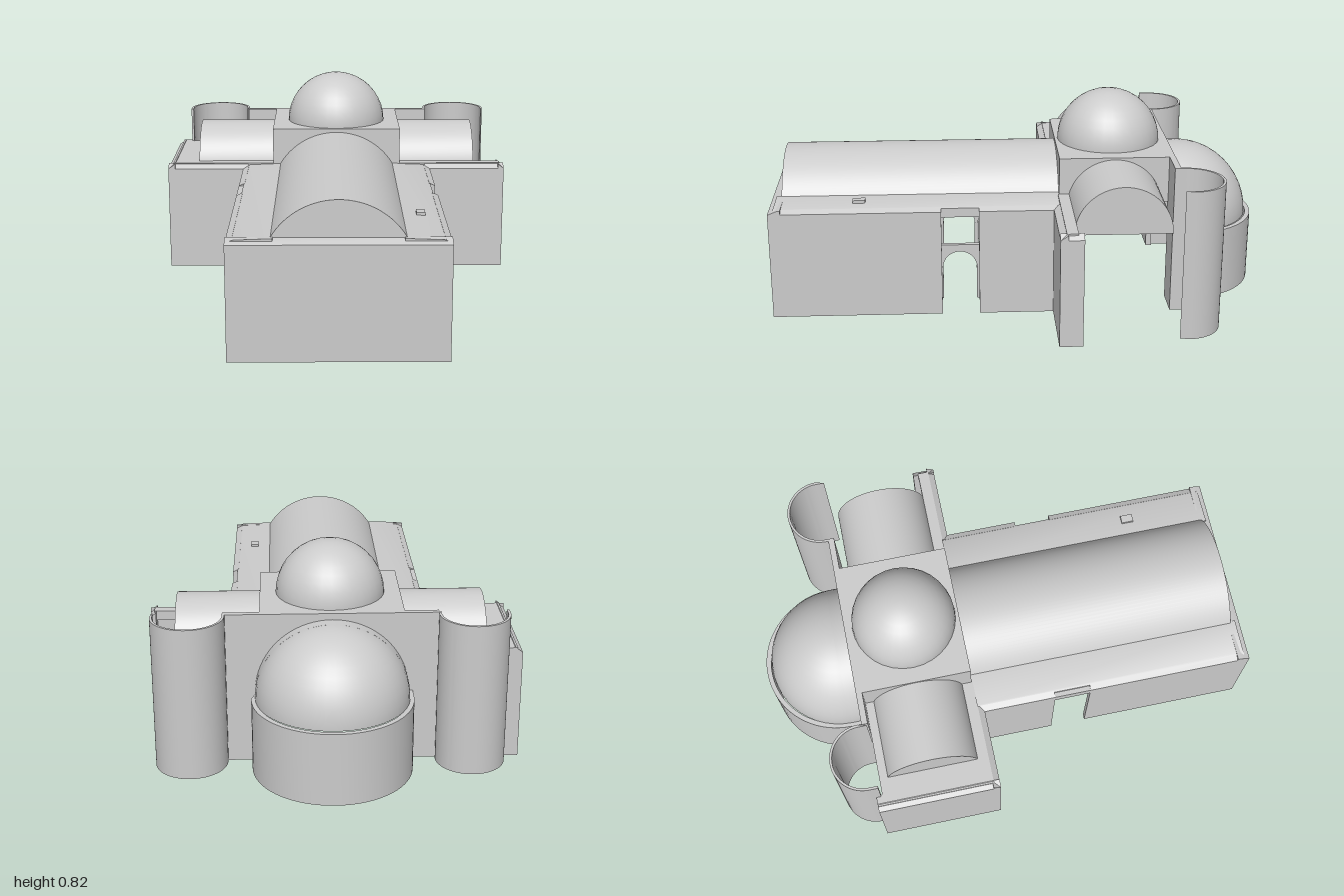
import * as THREE from 'three';
import { toCreasedNormals } from 'three/addons/utils/BufferGeometryUtils.js';

const mat = new THREE.MeshStandardMaterial({ color: 0xcccccc, side: THREE.DoubleSide });
const PI = Math.PI;

export function createModel() {
  const root = new THREE.Group();

  const add = (name, geo) => {
    const m = new THREE.Mesh(geo, mat);
    m.name = name;
    root.add(m);
    return m;
  };
  const box = (name, x0, x1, y0, y1, z0, z1) =>
    add(name, new THREE.BoxGeometry(x1 - x0, y1 - y0, z1 - z0)
      .translate((x0 + x1) / 2, (y0 + y1) / 2, (z0 + z1) / 2));
  const poly = pts => new THREE.Shape(pts.map(p => new THREE.Vector2(p[0], p[1])));
  const extrude = (shape, depth) =>
    new THREE.ExtrudeGeometry(shape, { depth, bevelEnabled: false, curveSegments: 20 });
  const crease = geo => toCreasedNormals(geo, 0.5);

  // Profile (x, y) run along z; profile (z, y) run along x; plan (x, -z) run upward
  const alongZ = (name, shape, z0, z1) =>
    add(name, crease(extrude(shape, z1 - z0).translate(0, 0, z0)));
  const alongX = (name, shape, x0, x1) =>
    add(name, crease(extrude(shape, x1 - x0).rotateY(-PI / 2).translate(x1, 0, 0)));
  const upward = (name, shape, y0, y1) =>
    add(name, crease(extrude(shape, y1 - y0).rotateX(-PI / 2).translate(0, y0, 0)));

  // Barrel vault cross-section: arc band cut off at height y0
  const vaultShape = (c, cy, R, t, y0) => {
    const a = Math.asin((y0 - cy) / R), b = Math.asin((y0 - cy) / (R - t));
    const s = new THREE.Shape();
    s.absarc(c, cy, R, a, PI - a, false);
    s.absarc(c, cy, R - t, PI - b, b, true);
    return s;
  };
  const lunetteShape = (c, cy, R, y0) => {
    const a = Math.asin((y0 - cy) / R);
    const s = new THREE.Shape();
    s.absarc(c, cy, R, a, PI - a, false);
    return s;
  };
  // Plate with an arched opening in its lower edge
  const archPlate = (c, w, y0, y1, cy, R) => {
    const a = Math.asin(Math.max(0, (y0 - cy) / R)), h = R * Math.cos(a);
    const s = new THREE.Shape();
    s.moveTo(c - w, y0);
    s.lineTo(c - h, y0);
    s.absarc(c, cy, R, PI - a, a, true);
    s.lineTo(c + h, y0);
    s.lineTo(c + w, y0);
    s.lineTo(c + w, y1);
    s.lineTo(c - w, y1);
    return s;
  };
  // U-shaped plan of an apse wall opening to the front
  const apsePlan = (cx, r, t, z0, zc) => {
    const s = new THREE.Shape();
    s.moveTo(cx + r, -z0);
    s.absarc(cx, -zc, r, 0, PI, false);
    s.lineTo(cx - r, -z0);
    s.lineTo(cx - r + t, -z0);
    s.absarc(cx, -zc, r - t, PI, 0, true);
    s.lineTo(cx + r - t, -z0);
    return s;
  };

  // Nave walls, each side broken by a doorway
  box('frontWall', -0.405, 0.405, 0, 0.44, 0.975, 1);
  for (const s of [-1, 1]) {
    const [a, b] = s > 0 ? [0.383, 0.405] : [-0.405, -0.383];
    box('naveWallFront', a, b, 0, 0.44, 0.318, 0.98);
    box('naveWallBack', a, b, 0, 0.44, -0.16, 0.168);
    // Aisle roof with a sloping outer edge
    alongZ('aisleRoof', poly([[0.235, 0.41], [0.385, 0.41], [0.385, 0.448], [0.375, 0.453],
      [0.235, 0.458]].map(p => [p[0] * s, p[1]])), -0.16, 0.98);
    for (const [z0, z1] of [[0.318, 0.98], [-0.16, 0.168]])
      alongZ('eaves', poly([[0.405, 0.44], [0.38, 0.452], [0.38, 0.44]].map(p => [p[0] * s, p[1]])), z0, z1);
  }
  box('doorLintel', -0.405, -0.383, 0.4, 0.44, 0.168, 0.318);
  alongX('frontEaves', poly([[1, 0.44], [0.96, 0.456], [0.95, 0.456], [0.95, 0.41], [0.98, 0.41]]), -0.405, 0.405);
  box('roofHatch', 0.295, 0.328, 0.45, 0.466, 0.62, 0.67);

  // Nave vault
  alongZ('naveVault', vaultShape(0, 0.311, 0.284, 0.01, 0.455), -0.16, 0.96);
  alongZ('naveLunette', lunetteShape(0, 0.311, 0.283, 0.45), 0.95, 0.96);

  // Nave arcades on thin columns
  const bay = 0.155, first = 0.9425;
  for (const x of [-0.25, 0.25]) {
    for (let i = 0; i < 8; i++) {
      const z = first - i * bay;
      if (i < 7) alongX('arcadeArch', archPlate(z - bay / 2, bay / 2, 0.14, 0.24, 0.14, 0.07), x - 0.01, x + 0.01);
      add('column', new THREE.CylinderGeometry(0.009, 0.009, 0.145, 10).translate(x, 0.0725, z));
    }
    box('arcadeEnd', x - 0.01, x + 0.01, 0.14, 0.24, first, 0.98);
  }

  // Crossing: arched walls, roof with round hole, dome
  const cz = -0.385;
  alongZ('crossingFront', archPlate(0, 0.275, 0.45, 0.61, 0.311, 0.274), -0.175, -0.16);
  for (const x of [-0.275, 0.26])
    alongX('crossingSide', archPlate(cz, 0.222, 0.42, 0.61, 0.41, 0.185), x, x + 0.015);
  const top = poly([[-0.275, 0.16], [0.275, 0.16], [0.275, 0.63], [-0.275, 0.63]]);
  top.holes.push(new THREE.Path().absarc(0, -cz, 0.205, 0, 2 * PI, true));
  upward('crossingRoof', top, 0.597, 0.61);
  add('crossingDome', new THREE.SphereGeometry(0.213, 32, 10, 0, 2 * PI, 0, PI / 2).translate(0, 0.608, cz));

  // Wall behind the crossing, open to the main apse
  alongZ('apseArchWall', archPlate(0, 0.405, 0, 0.61, 0.29, 0.275), -0.63, -0.605);

  // Main apse with half dome
  upward('mainApseWall', apsePlan(0, 0.31, 0.02, -0.63, -0.69), 0, 0.29);
  add('mainApseDome', new THREE.SphereGeometry(0.295, 24, 12, PI, PI, 0, PI / 2).translate(0, 0.29, -0.68));
  alongZ('mainApseVault', vaultShape(0, 0.29, 0.295, 0.008, 0.29), -0.68, -0.625);

  // Side apses, open above
  upward('sideApseRight', apsePlan(-0.537, 0.135, 0.01, -0.61, -0.645), 0, 0.61);
  upward('sideApseLeft', apsePlan(0.545, 0.14, 0.01, -0.605, -0.64), 0, 0.61);

  // Transept vaults
  for (const s of [-1, 1]) {
    const [a, b] = s > 0 ? [0.265, 0.6] : [-0.6, -0.265];
    alongX('transeptVault', vaultShape(cz, 0.41, 0.192, 0.01, 0.41), a, b);
    alongX('transeptLunette', lunetteShape(cz, 0.41, 0.19, 0.41), s > 0 ? 0.59 : -0.6, s > 0 ? 0.6 : -0.59);
  }

  // Transept front walls and roof strips on both sides
  const frontProfile = poly([[-0.13, 0], [-0.13, 0.44], [-0.16, 0.46], [-0.16, 0]]);
  for (const [a, b] of [[-0.73, -0.383], [0.383, 0.727]]) alongX('transeptFrontWall', frontProfile, a, b);
  for (const [a, b] of [[-0.71, -0.275], [0.275, 0.71]])
    box('transeptRoofStrip', a, b, 0.42, 0.46, -0.2, -0.155);

  // Closed transept: end wall, back corner, roof
  alongZ('transeptEndWall', poly([[-0.73, 0], [-0.73, 0.44], [-0.7, 0.462], [-0.7, 0]]), -0.63, -0.13);
  box('transeptBackCorner', -0.71, -0.665, 0, 0.46, -0.63, -0.605);
  box('transeptRoofBack', -0.7, -0.275, 0.42, 0.46, -0.605, -0.57);
  box('transeptRoofEnd', -0.71, -0.595, 0.42, 0.46, -0.605, -0.16);

  // Open transept: only a stub of the end wall
  alongZ('transeptWallStub', poly([[0.727, 0], [0.727, 0.44], [0.702, 0.46], [0.702, 0]]), -0.222, -0.13);

  return root;
}
